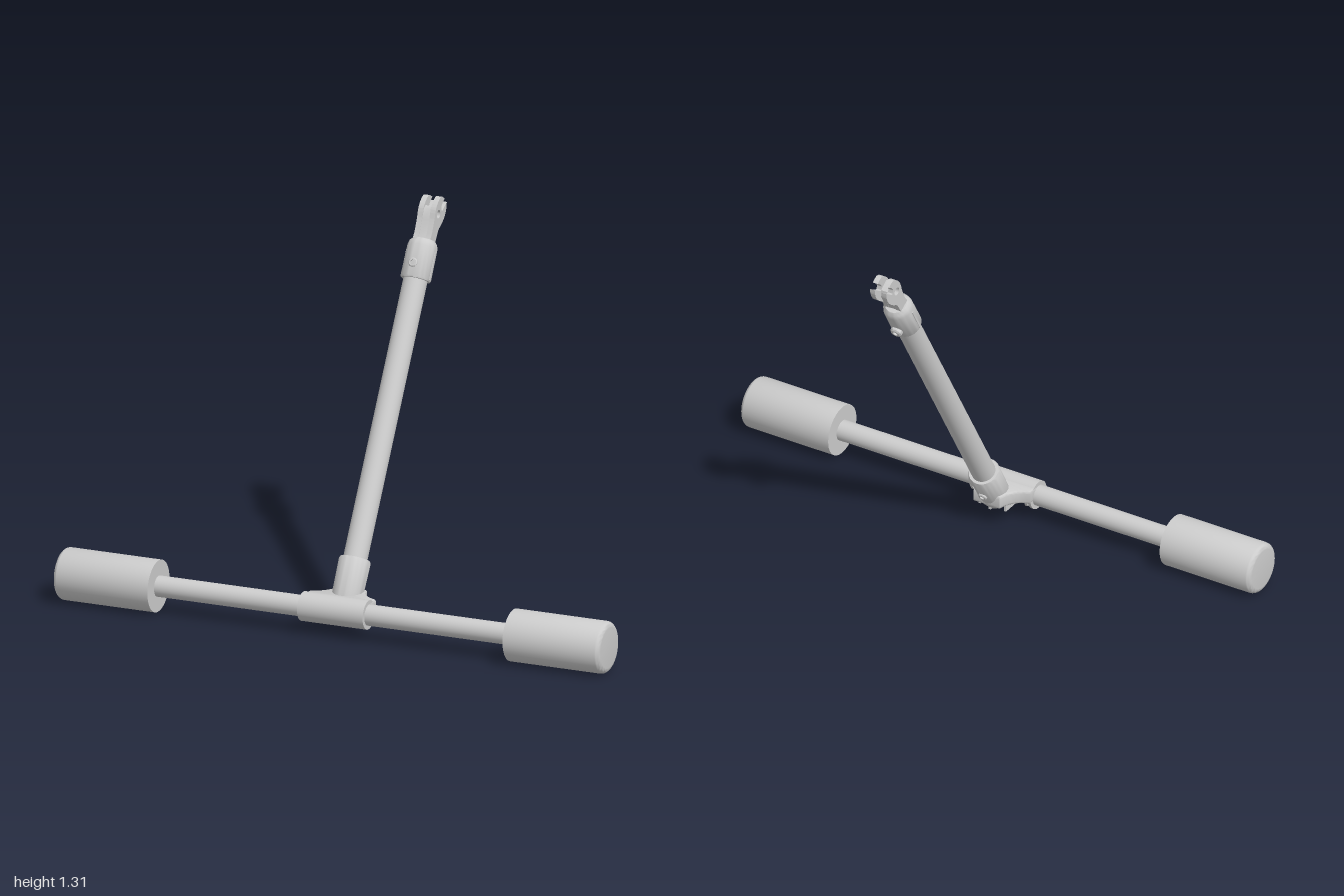
import * as THREE from 'three';
import { toCreasedNormals } from 'three/addons/utils/BufferGeometryUtils.js';

const material = new THREE.MeshStandardMaterial({ color: 0xcccccc });
const openMaterial = new THREE.MeshStandardMaterial({ color: 0xcccccc, side: THREE.DoubleSide });

function add(parent, name, geometry, x = 0, y = 0, z = 0, mat = material) {
  const mesh = new THREE.Mesh(geometry, mat);
  mesh.name = name;
  mesh.position.set(x, y, z);
  parent.add(mesh);
  return mesh;
}

// Turned solid from [radius, height] pairs, listed bottom to top
function turned(points, segments = 40) {
  const profile = points.map(([r, y]) => new THREE.Vector2(r, y));
  return toCreasedNormals(new THREE.LatheGeometry(profile, segments), 0.6);
}

// Flat shape in (front, up), given thickness across x and centred there
function sidePlate(shape, thickness) {
  const g = new THREE.ExtrudeGeometry(shape, { depth: thickness, bevelEnabled: false, curveSegments: 10 });
  g.translate(0, 0, -thickness / 2);
  g.rotateY(-Math.PI / 2);
  return toCreasedNormals(g, 0.6);
}

function pinHole() {
  return new THREE.Path().absarc(0, 1.353, 0.014, 0, Math.PI * 2, true);
}

function createCrossbar() {
  const group = new THREE.Group();
  group.name = 'crossbar';
  group.position.set(0, 0.09, 0.366);
  add(group, 'bar', new THREE.CylinderGeometry(0.036, 0.036, 1.4, 32).rotateZ(Math.PI / 2));

  // Padded rollers with rounded outer ends
  const arc = [];
  for (let i = 0; i <= 6; i++) {
    const a = (i / 6) * Math.PI / 2;
    arc.push([0.069 + 0.02 * Math.cos(a), 0.98 + 0.02 * Math.sin(a)]);
  }
  for (const side of [-1, 1]) {
    const pad = turned([[0, 0.65], [0.089, 0.65], ...arc, [0, 1]], 48);
    add(group, side > 0 ? 'leftRoller' : 'rightRoller', pad.rotateZ(-side * Math.PI / 2));
  }
  return group;
}

function createTeeJoint() {
  const group = new THREE.Group();
  group.name = 'teeJoint';
  group.position.set(0, 0.09, 0.366);

  // Sleeve, open at the lower back where the ribs show
  const deg = Math.PI / 180;
  add(group, 'sleeve', new THREE.CylinderGeometry(0.05, 0.05, 0.24, 40, 1, true, 165 * deg, 275 * deg)
    .rotateZ(-Math.PI / 2), 0, 0, 0, openMaterial);
  for (const x of [-0.115, 0.115]) {
    add(group, 'sleeveEnd', new THREE.CylinderGeometry(0.05, 0.05, 0.01, 40).rotateZ(Math.PI / 2), x);
  }

  // Slanted ribs around the underside
  for (const x of [-0.08, -0.045, 0, 0.045, 0.08]) {
    const rib = add(group, 'rib', new THREE.CylinderGeometry(0.0485, 0.0485, 0.008, 32).rotateZ(Math.PI / 2), x);
    rib.rotation.y = -Math.sign(x) * 0.35;
  }

  // Flared gusset leading from the sleeve to the socket
  const flare = new THREE.Shape();
  flare.moveTo(-0.115, 0.02);
  flare.lineTo(-0.115, 0.05);
  flare.quadraticCurveTo(-0.06, 0.07, -0.047, 0.13);
  flare.lineTo(0.047, 0.13);
  flare.quadraticCurveTo(0.06, 0.07, 0.115, 0.05);
  flare.lineTo(0.115, 0.02);
  const gusset = new THREE.ExtrudeGeometry(flare, {
    depth: 0.032, bevelThickness: 0.008, bevelSize: 0.006, bevelSegments: 3, curveSegments: 12,
  });
  add(group, 'gusset', toCreasedNormals(gusset.rotateX(-Math.PI / 2), 0.6));
  for (const x of [-0.05, 0, 0.05]) {
    add(group, 'gussetRib', new THREE.BoxGeometry(0.008, 0.04, 0.1 - Math.abs(x) * 0.6), x, -0.015, -0.065);
  }
  return group;
}

function createStem() {
  const stem = new THREE.Group();
  stem.name = 'stem';
  stem.position.set(0, 0.09, 0.29);
  stem.rotation.x = -Math.PI / 6;
  add(stem, 'tube', new THREE.CylinderGeometry(0.041, 0.041, 1.13, 36), 0, 0.6);

  // Lower socket with its screw on the back
  add(stem, 'socket', turned([[0, -0.035], [0.025, -0.033], [0.043, -0.015], [0.052, 0.012],
    [0.054, 0.15], [0.051, 0.156], [0.041, 0.156]]));
  const screw = () => turned([[0.016, 0], [0.016, 0.009], [0.013, 0.012], [0.008, 0.012],
    [0.008, 0.006], [0, 0.006]], 20);
  add(stem, 'socketScrew', screw().rotateX(-Math.PI / 2), 0, 0.075, -0.047);

  // Upper clamp collar with side ribs, front screw and back knob
  add(stem, 'collar', turned([[0.041, 1.122], [0.049, 1.122], [0.052, 1.128], [0.051, 1.235],
    [0.047, 1.25], [0.038, 1.26], [0, 1.262]]));
  add(stem, 'collarSideRibs', new THREE.BoxGeometry(0.107, 0.098, 0.007), 0, 1.175, 0.003);
  add(stem, 'collarScrew', screw().rotateX(Math.PI / 2), 0, 1.17, 0.043);
  add(stem, 'collarKnob', turned([[0.021, 0], [0.021, 0.015], [0.016, 0.02], [0.009, 0.02],
    [0.009, 0.012], [0, 0.012]], 24).rotateX(-Math.PI / 2), 0, 1.16, -0.044);

  // Fork prongs with hooked slots
  const prong = new THREE.Shape();
  prong.moveTo(-0.023, 1.25);
  prong.lineTo(0.024, 1.25);
  prong.lineTo(0.019, 1.281);
  prong.splineThru([[0.023, 1.325], [0.029, 1.362], [0.022, 1.392], [0.006, 1.412], [-0.022, 1.413]]
    .map(([w, u]) => new THREE.Vector2(w, u)));
  prong.splineThru([[-0.014, 1.398], [-0.011, 1.383], [-0.016, 1.373], [-0.026, 1.373], [-0.045, 1.407]]
    .map(([w, u]) => new THREE.Vector2(w, u)));
  prong.splineThru([[-0.053, 1.387], [-0.053, 1.359], [-0.04, 1.327], [-0.026, 1.302], [-0.023, 1.25]]
    .map(([w, u]) => new THREE.Vector2(w, u)));
  prong.holes.push(pinHole());
  for (const side of [-1, 1]) {
    add(stem, side > 0 ? 'leftProng' : 'rightProng', sidePlate(prong, 0.019), side * 0.0225);
  }

  // Web joining the prongs
  const web = new THREE.Shape([[-0.022, 1.25], [0.022, 1.25], [0.018, 1.281], [0.022, 1.325],
    [0.026, 1.362], [0.02, 1.374], [-0.02, 1.37], [-0.034, 1.352], [-0.034, 1.325], [-0.024, 1.302]]
    .map(([w, u]) => new THREE.Vector2(w, u)));
  web.holes.push(pinHole());
  add(stem, 'forkWeb', sidePlate(web, 0.028));
  return stem;
}

export function createModel() {
  const model = new THREE.Group();
  model.name = 'rollerStand';
  model.add(createCrossbar(), createTeeJoint(), createStem());
  return model;
}
